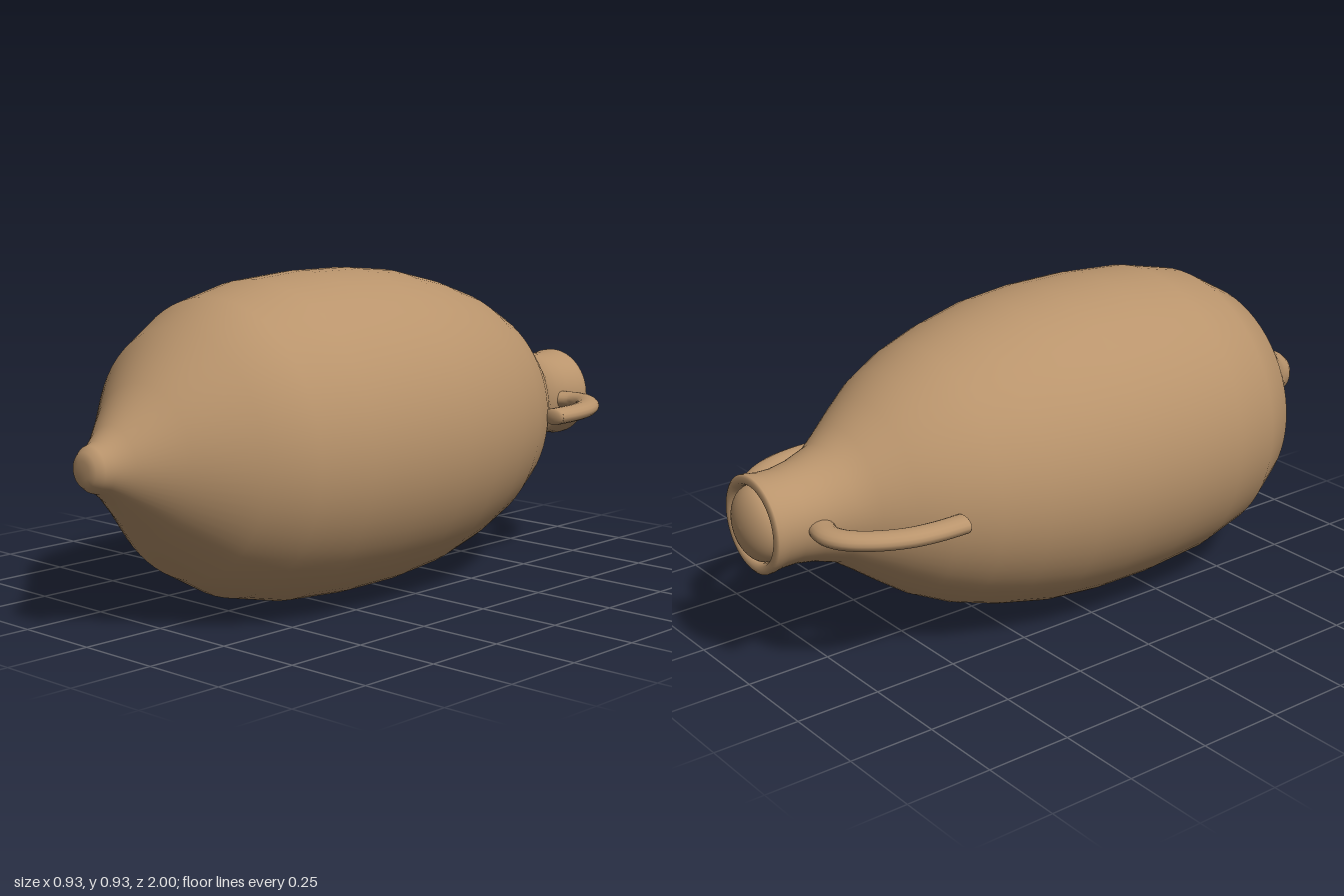
import * as THREE from 'three';

const AXIS_Y = 0.463;

export function createModel() {
  const model = new THREE.Group();
  const clay = new THREE.MeshStandardMaterial({ color: 0xb9946c });
  clay.name = 'clay';

  const add = (name, geometry, parent = model) => {
    const mesh = new THREE.Mesh(geometry, clay);
    mesh.name = name;
    parent.add(mesh);
    return mesh;
  };

  // Everything is turned around an axis lying along z: [radius, z]
  const turned = (profile) =>
    new THREE.LatheGeometry(profile.map(([r, z]) => new THREE.Vector2(r, z)), 64)
      .rotateX(Math.PI / 2)
      .translate(0, AXIS_Y, 0);

  // Mouth recess, rim, neck, belly and pointed foot
  add('body', turned([
    [0.105, -0.93], [0.107, -0.955], [0.114, -0.965], [0.13, -0.965],
    [0.137, -0.96], [0.137, -0.945], [0.132, -0.92], [0.131, -0.87],
    [0.141, -0.81], [0.165, -0.735], [0.203, -0.68], [0.262, -0.6],
    [0.318, -0.52], [0.372, -0.41], [0.414, -0.28], [0.448, -0.13],
    [0.462, 0.02], [0.463, 0.2], [0.449, 0.39], [0.412, 0.55],
    [0.34, 0.68], [0.205, 0.805], [0.105, 0.905], [0.07, 0.95],
    [0.062, 0.975], [0.047, 0.994], [0.025, 1], [0, 1],
  ]));

  // Domed stopper set inside the rim
  const dome = [];
  for (let i = 0; i <= 10; i++) {
    const a = (i / 10) * Math.PI / 2;
    dome.push([0.106 * Math.sin(a), -0.94 - 0.06 * Math.cos(a)]);
  }
  add('stopper', turned(dome));

  // Flattened loop handles from the neck to the shoulder
  const radius = 0.037;
  const flatten = 0.68;
  for (const side of [1, -1]) {
    const handle = new THREE.Group();
    handle.name = side > 0 ? 'leftHandle' : 'rightHandle';
    handle.position.y = AXIS_Y;
    model.add(handle);

    const points = [
      [0.115, -0.825], [0.18, -0.84], [0.23, -0.823], [0.28, -0.77],
      [0.32, -0.69], [0.336, -0.61], [0.339, -0.522],
    ].map(([x, z]) => new THREE.Vector3(side * x, 0, z));
    const curve = new THREE.CatmullRomCurve3(points);
    add('handleLoop', new THREE.TubeGeometry(curve, 32, radius, 16).scale(1, flatten, 1), handle);

    // Softly rounded ends
    for (const [i, depth] of [[0, 0.02], [points.length - 1, 0.012]]) {
      const end = new THREE.SphereGeometry(radius, 16, 10).scale(1, flatten, depth / radius);
      if (i === 0) end.rotateY(Math.PI / 2);
      end.translate(points[i].x, 0, points[i].z);
      add('handleEnd', end, handle);
    }
  }

  return model;
}
